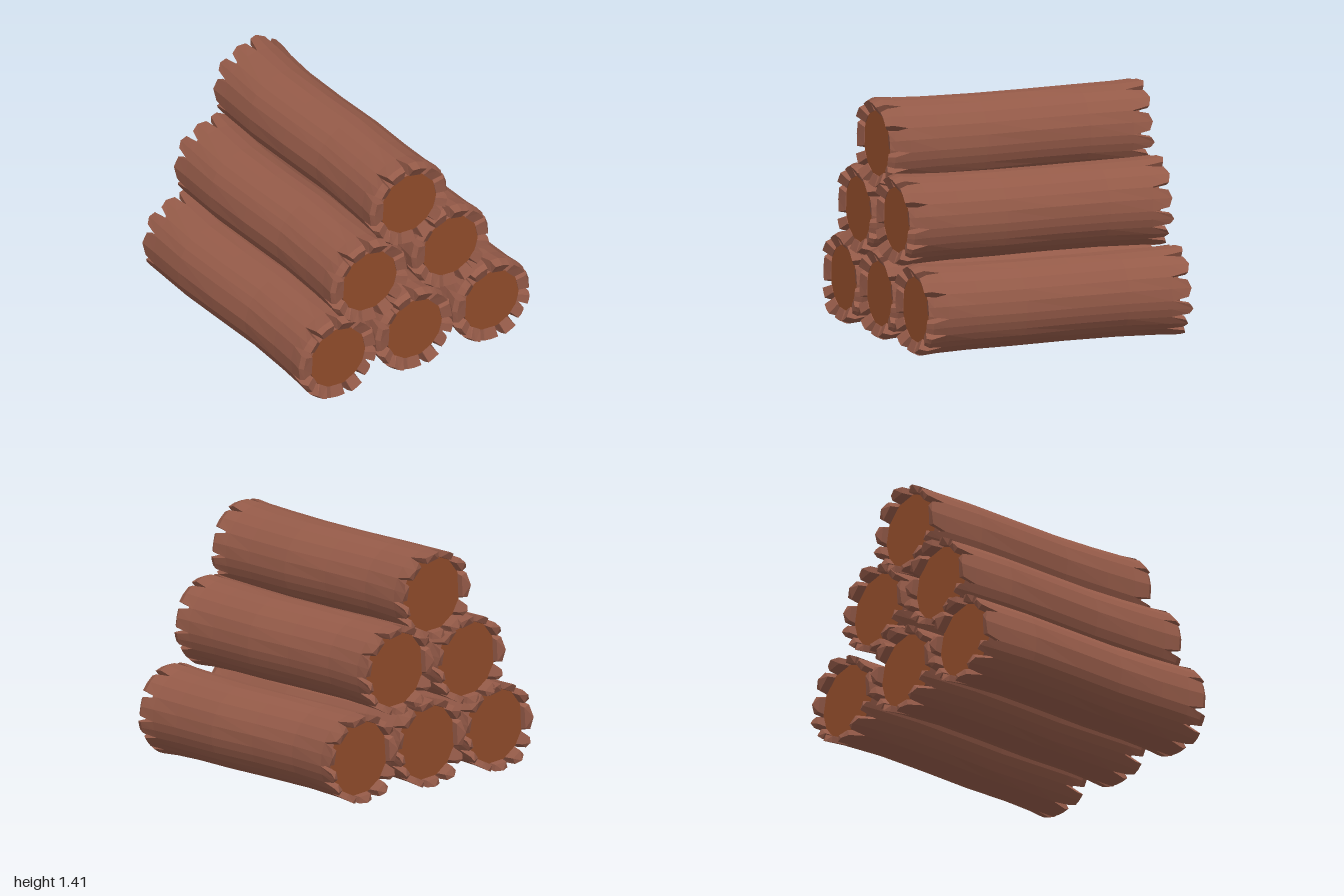
import * as THREE from 'three';
import { mergeGeometries } from 'three/addons/utils/BufferGeometryUtils.js';

const rad = THREE.MathUtils.degToRad;

// Bark strip boundaries around a log, in degrees
const EDGES = [-4, 28, 62, 95, 127, 155, 198, 222, 250, 282, 310, 333, 356];

// Stations along a log: z, outer radius, inner radius, half notch angle, sideways bend
const STATIONS = [
  [-0.815, 0.26, 0.222, 5, 0.005],
  [-0.71, 0.254, 0.218, 0, -0.005],
  [-0.45, 0.249, 0.21, 0, -0.018],
  [-0.12, 0.247, 0.2, 0, -0.008],
  [0.2, 0.249, 0.2, 0, 0.008],
  [0.5, 0.252, 0.195, 0, 0.003],
  [0.69, 0.259, 0.192, 0, 0],
  [0.785, 0.267, 0.19, 4, 0],
  [0.825, 0.249, 0.188, 5, 0],
];

// One strip of bark: a five-cornered section swept along the log
function barkStrip(i) {
  const from = EDGES[i], to = EDGES[i + 1];
  const wobble = ((i * 7) % 5 - 2) / 2; // repeatable, -1..1
  const pos = [], index = [], n = 5;
  STATIONS.forEach(([z, outer, inner, gap, bend], s) => {
    const back = s === 0, front = s === STATIONS.length - 1;
    const a0 = rad(from + gap), a1 = rad(to - gap), am = (a0 + a1) / 2;
    const bump = outer + 0.003 * wobble * Math.sin(s * 1.7 + i);
    const end = back || front ? z + 0.013 * wobble * Math.sign(z) : z;
    const tip = back ? end - 0.02 : end;
    const inset = front ? 0.795 : end;
    const put = (a, r, zz) => pos.push(Math.cos(a) * r + bend, Math.sin(a) * r, zz);
    put(a0, outer, end);
    put(am, bump, tip);
    put(a1, outer, end);
    put(a1, inner, inset);
    put(a0, inner, inset);
    if (s === 0) return;
    for (let j = 0; j < n; j++) {
      const k = (j + 1) % n, p = (s - 1) * n, q = s * n;
      index.push(p + j, p + k, q + k, p + j, q + k, q + j);
    }
  });
  // Close both ends
  const last = (STATIONS.length - 1) * n;
  for (const [a, b, c] of [[0, 1, 4], [1, 3, 4], [1, 2, 3]]) {
    index.push(a, c, b, last + a, last + b, last + c);
  }
  const g = new THREE.BufferGeometry();
  g.setAttribute('position', new THREE.Float32BufferAttribute(pos, 3));
  g.setIndex(index);
  const flat = g.toNonIndexed();
  flat.computeVertexNormals();
  return flat;
}

export function createModel() {
  const bark = new THREE.MeshStandardMaterial({ color: 0x945a48 });
  bark.name = 'bark brown';
  bark.flatShading = true;
  const wood = new THREE.MeshStandardMaterial({ color: 0x914c2a });
  wood.name = 'cut wood orange';

  const strips = [];
  for (let i = 0; i < EDGES.length - 1; i++) strips.push(barkStrip(i));
  const barkGeometry = mergeGeometries(strips);

  // Core with the cut faces at its two ends
  const coreGeometry = new THREE.CylinderGeometry(0.192, 0.224, 1.555, 24);
  coreGeometry.rotateX(Math.PI / 2);
  coreGeometry.translate(0, 0, 0.0125);

  // Log centres: sideways position, height
  const places = [
    [-0.535, 0.274], [0, 0.274], [0.535, 0.274],
    [-0.315, 0.715], [0.25, 0.75],
    [-0.04, 1.147],
  ];

  const stack = new THREE.Group();
  stack.name = 'logStack';
  places.forEach(([x, y], i) => {
    const log = new THREE.Group();
    log.name = `log${i + 1}`;
    const shell = new THREE.Mesh(barkGeometry, bark);
    shell.name = 'bark';
    const core = new THREE.Mesh(coreGeometry, [bark, wood, wood]);
    core.name = 'woodCore';
    log.add(shell, core);
    log.position.set(x, y, 0);
    stack.add(log);
  });
  stack.rotation.y = rad(15);

  const model = new THREE.Group();
  model.name = 'logPile';
  model.add(stack);
  return model;
}
